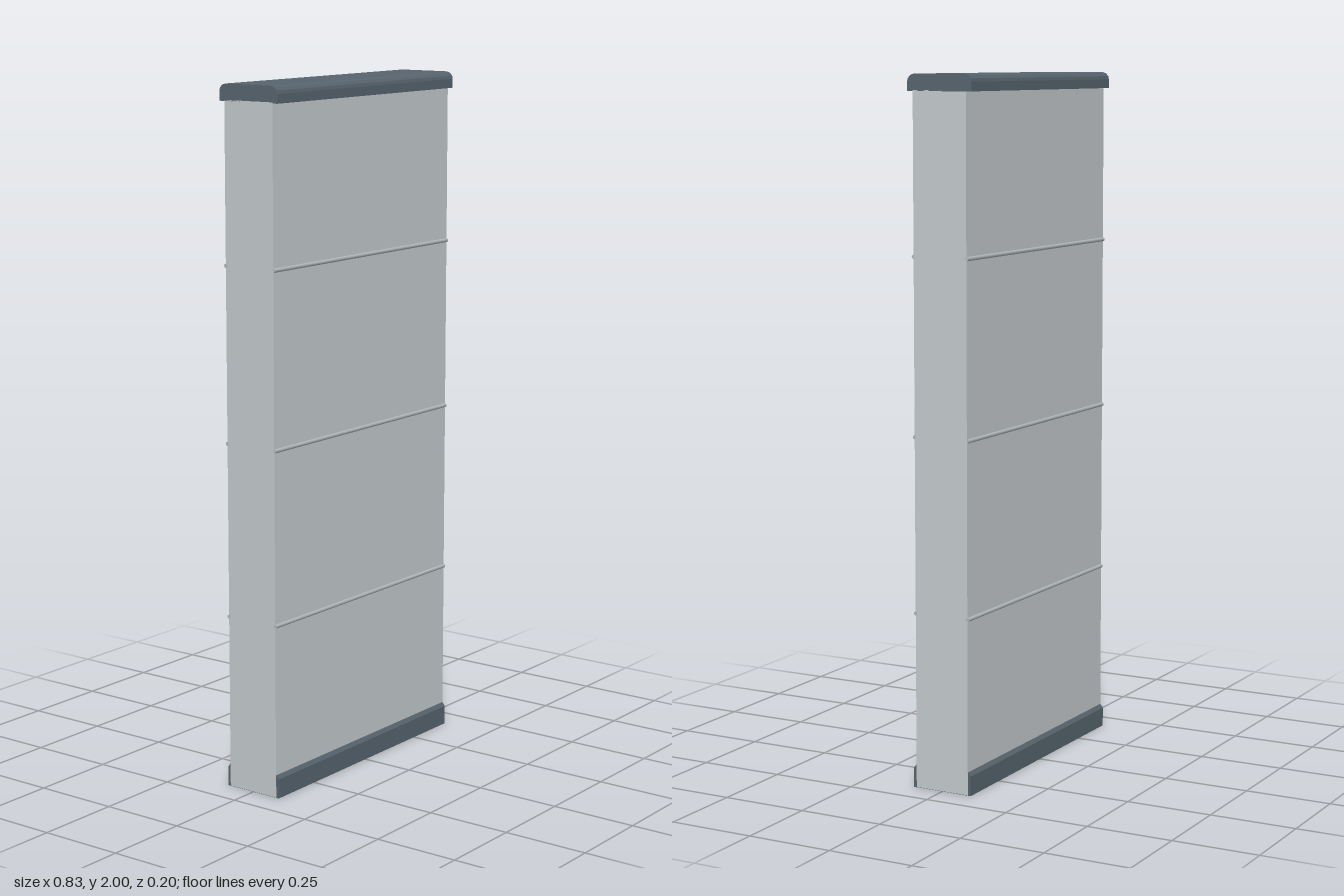
import * as THREE from 'three';

const WIDTH = 0.83;

export function createModel() {
  const group = new THREE.Group();
  const wallMat = new THREE.MeshStandardMaterial({ color: 0xc4cacd, flatShading: true });
  const seamMat = new THREE.MeshStandardMaterial({ color: 0xb0b6b9 });
  const trimMat = new THREE.MeshStandardMaterial({ color: 0x57646e, flatShading: true });

  const add = (name, geometry, material) => {
    const mesh = new THREE.Mesh(geometry, material);
    mesh.name = name;
    group.add(mesh);
    return mesh;
  };

  // Mirrors a half profile of [z, y] points, listed upward, and runs it along x
  const symmetricBar = (half, length) => {
    const left = half.map(([z, y]) => [-z, y]).reverse();
    const shape = new THREE.Shape([...half, ...left].map(([z, y]) => new THREE.Vector2(z, y)));
    return new THREE.ExtrudeGeometry(shape, { depth: length, bevelEnabled: false })
      .translate(0, 0, -length / 2)
      .rotateY(Math.PI / 2);
  };

  // Main panel
  add('wallPanel', new THREE.BoxGeometry(WIDTH, 1.955, 0.166).translate(0, 0.9785, 0), wallMat);

  // Top cap with softened upper edges
  add('topCap', symmetricBar([
    [0.1, 1.953], [0.1, 1.979], [0.098, 1.988], [0.091, 1.996], [0.08, 2],
  ], WIDTH), trimMat);

  // Skirting on both faces, with a chamfered top edge
  add('skirting', symmetricBar([
    [0.092, 0], [0.092, 0.056], [0.084, 0.067],
  ], WIDTH - 0.001), trimMat);

  // Thin rounded seam strips on both faces
  for (const y of [0.5, 1, 1.5]) {
    for (const side of [1, -1]) {
      const seam = add(side > 0 ? 'frontSeam' : 'backSeam',
        new THREE.CylinderGeometry(0.006, 0.006, WIDTH, 10).rotateZ(Math.PI / 2), seamMat);
      seam.position.set(0, y + 0.003, side * 0.083);
    }
  }

  return group;
}
